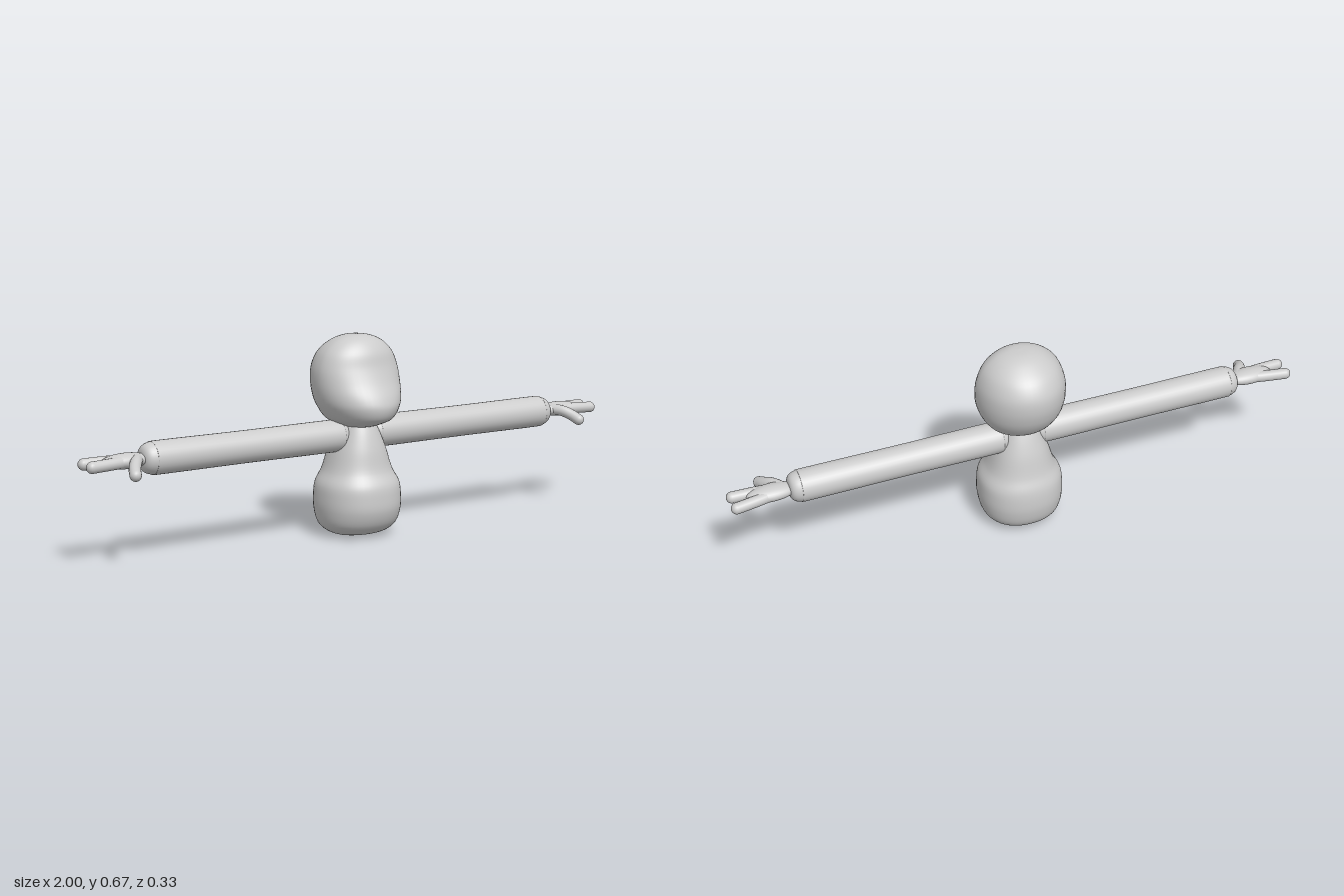
import * as THREE from 'three';

const grey = new THREE.MeshStandardMaterial({ color: 0xcccccc });

function mesh(name, geometry) {
  const m = new THREE.Mesh(geometry, grey);
  m.name = name;
  return m;
}

// Smooth loft through rows of [y, half width, front depth, back depth].
// power 2 gives ellipses, higher values squarer sections.
function loft(rows, power, steps = 5, sides = 48) {
  const sidesCurve = new THREE.CatmullRomCurve3(rows.map(r => new THREE.Vector3(r[1], r[0], r[2])));
  const backCurve = new THREE.CatmullRomCurve3(rows.map(r => new THREE.Vector3(r[1], r[0], r[3])));
  const rings = (rows.length - 1) * steps;
  const pos = [], index = [];
  for (let i = 0; i <= rings; i++) {
    const a = sidesCurve.getPoint(i / rings);
    const b = backCurve.getPoint(i / rings);
    for (let j = 0; j < sides; j++) {
      const t = (j / sides) * Math.PI * 2;
      const s = Math.sin(t), c = Math.cos(t);
      const round = v => Math.sign(v) * Math.abs(v) ** (2 / power);
      pos.push(a.x * round(s), a.y, round(c) * (c > 0 ? a.z : b.z));
      if (i < rings) {
        const k = (j + 1) % sides, p = i * sides, q = p + sides;
        index.push(p + j, p + k, q + k, p + j, q + k, q + j);
      }
    }
  }
  const g = new THREE.BufferGeometry();
  g.setAttribute('position', new THREE.Float32BufferAttribute(pos, 3));
  g.setIndex(index);
  g.computeVertexNormals();
  return g;
}

// Round-tipped digit following a short curved path.
function digit(name, points, radius) {
  const path = points.map(p => new THREE.Vector3(...p));
  const group = new THREE.Group();
  group.name = name;
  group.add(mesh(name + 'Shaft', new THREE.TubeGeometry(new THREE.CatmullRomCurve3(path), 16, radius, 16)));
  const tip = mesh(name + 'Tip', new THREE.SphereGeometry(radius, 16, 12));
  tip.position.copy(path[path.length - 1]);
  group.add(tip);
  return group;
}

function makeArm(name) {
  const arm = new THREE.Group();
  arm.name = name;

  // Long sleeve with rounded ends, laid along x
  const profile = [[0, 0.04], [0.025, 0.041], [0.042, 0.05], [0.051, 0.07], [0.054, 0.11], [0.053, 0.42],
    [0.054, 0.73], [0.052, 0.765], [0.044, 0.788], [0.028, 0.799], [0, 0.802]];
  const curve = new THREE.SplineCurve(profile.map(p => new THREE.Vector2(...p)));
  const pts = curve.getPoints(50);
  pts.forEach(p => { p.x = Math.max(0, p.x); });
  const sleeve = mesh('sleeve', new THREE.LatheGeometry(pts, 32));
  sleeve.rotation.z = -Math.PI / 2;
  sleeve.position.y = 0.341;
  arm.add(sleeve);

  // Hand: flattened palm, two fingers and a thumb reaching forward
  const palm = mesh('palm', new THREE.SphereGeometry(1, 24, 16));
  palm.scale.set(0.085, 0.025, 0.038);
  palm.position.set(0.855, 0.342, 0);
  arm.add(palm);
  arm.add(digit('backFinger', [[0.85, 0.342, -0.012], [0.91, 0.341, -0.024], [0.98, 0.339, -0.034]], 0.019));
  arm.add(digit('frontFinger', [[0.85, 0.342, 0.014], [0.91, 0.341, 0.021], [0.98, 0.339, 0.026]], 0.019));
  arm.add(digit('thumb', [[0.815, 0.345, 0.005], [0.841, 0.341, 0.045], [0.86, 0.328, 0.075], [0.87, 0.315, 0.1]], 0.019));
  return arm;
}

export function createModel() {
  const model = new THREE.Group();

  // Pear-shaped body with a shoulder line above the hips
  model.add(mesh('body', loft([
    [0.002, 0, 0, 0], [0.006, 0.06, 0.045, 0.045], [0.016, 0.1, 0.088, 0.09], [0.045, 0.13, 0.126, 0.122],
    [0.095, 0.142, 0.147, 0.136], [0.14, 0.143, 0.148, 0.137], [0.18, 0.138, 0.142, 0.131],
    [0.225, 0.115, 0.118, 0.113], [0.3, 0.091, 0.1, 0.093], [0.37, 0.062, 0.075, 0.064],
    [0.41, 0.045, 0.05, 0.04], [0.42, 0, 0, 0],
  ], 2.2)));

  // Head with a rounded back and a muzzle pushed forward and down
  model.add(mesh('head', loft([
    [0.367, 0, 0, 0], [0.37, 0.045, 0.06, 0.035], [0.385, 0.085, 0.112, 0.075], [0.405, 0.112, 0.15, 0.106],
    [0.443, 0.135, 0.164, 0.136], [0.475, 0.145, 0.155, 0.152], [0.523, 0.15, 0.127, 0.164],
    [0.571, 0.145, 0.105, 0.162], [0.618, 0.125, 0.09, 0.136], [0.654, 0.086, 0.063, 0.088],
    [0.671, 0.042, 0.032, 0.045], [0.675, 0, 0, 0],
  ], 2)));

  // Mirrored arms stretched out to the sides
  model.add(makeArm('leftArm'));
  const rightArm = makeArm('rightArm');
  rightArm.scale.x = -1;
  model.add(rightArm);
  return model;
}
